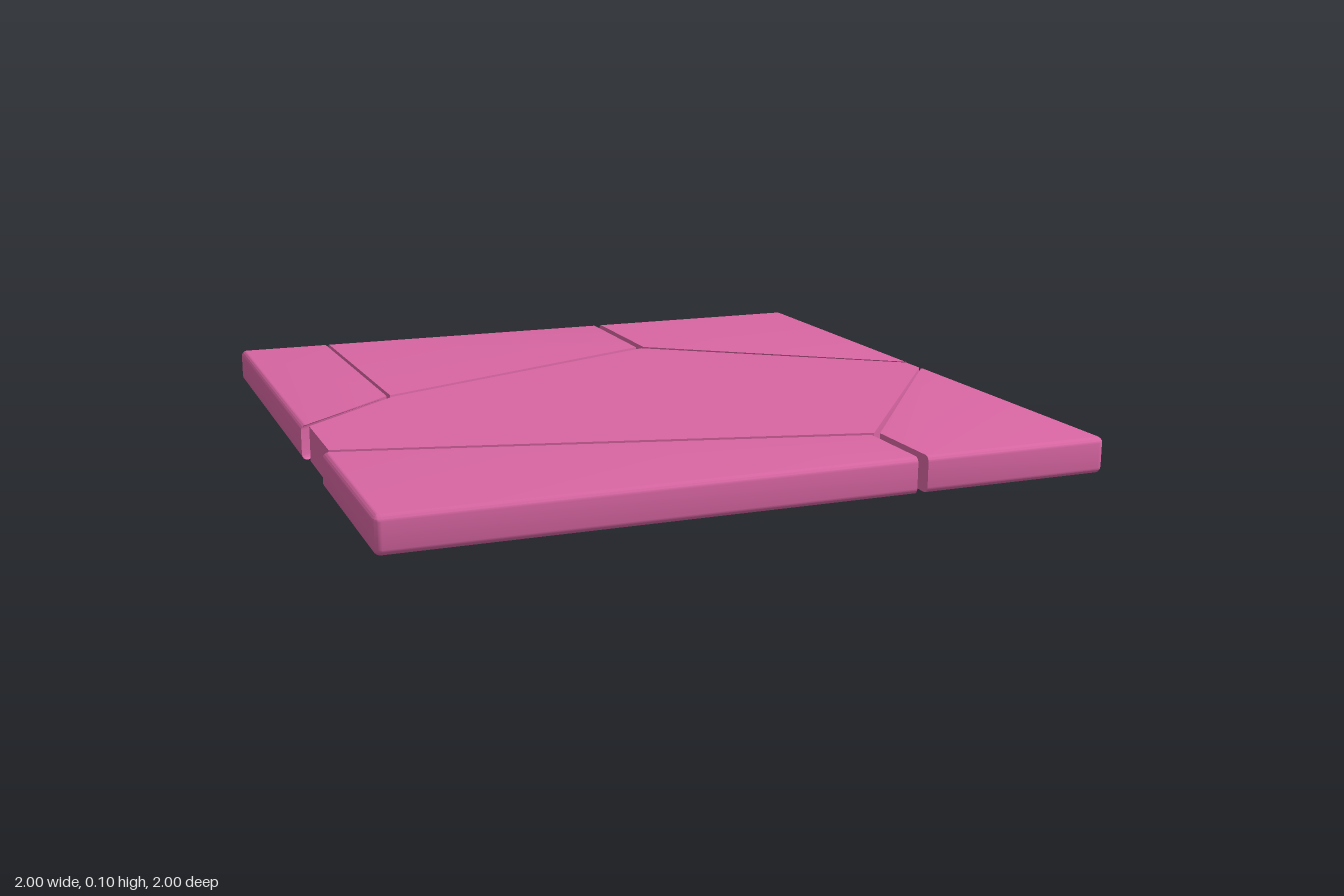
import * as THREE from 'three';
import { toCreasedNormals } from 'three/addons/utils/BufferGeometryUtils.js';

const HEIGHT = 0.1, BEVEL = 0.016, CORNER = 0.019, STEPS = 4;

// Heights of the slab's layers, with the inset of the rounded outer rim at each
const levels = [];
for (let i = 0; i <= STEPS; i++) {
  const a = (i / STEPS) * Math.PI / 2;
  levels.push({ y: BEVEL * (1 - Math.cos(a)), inset: BEVEL * (1 - Math.sin(a)) });
}
for (let i = STEPS; i >= 0; i--) levels.push({ y: HEIGHT - levels[i].y, inset: levels[i].inset });

// One horizontal slice of a piece; a point is [x, z] or [x, z, topX, topZ]
function slice(points, { y, inset }) {
  const ring = [], lim = 1 - inset, t = y / HEIGHT;
  for (const [x, z, tx = x, tz = z] of points) {
    if (Math.abs(x) === 1 && Math.abs(z) === 1) {
      // rounded slab corner
      const start = Math.atan2(z, x) - Math.PI / 4, r = CORNER - inset;
      for (let k = 0; k <= 3; k++) {
        const a = start + k * Math.PI / 6;
        ring.push([x * (1 - CORNER) + r * Math.cos(a), y, z * (1 - CORNER) + r * Math.sin(a)]);
      }
    } else {
      const px = x + (tx - x) * t, pz = z + (tz - z) * t;
      ring.push([THREE.MathUtils.clamp(px, -lim, lim), y, THREE.MathUtils.clamp(pz, -lim, lim)]);
    }
  }
  return ring;
}

// Stack the slices into a closed convex piece
function pieceGeometry(points) {
  const rings = levels.map((l) => slice(points, l));
  const n = rings[0].length, index = [];
  for (let j = 0; j < rings.length - 1; j++) {
    for (let i = 0; i < n; i++) {
      const a = j * n + i, b = j * n + (i + 1) % n, c = b + n, d = a + n;
      index.push(a, d, c, a, c, b);
    }
  }
  const top = (rings.length - 1) * n;
  for (let i = 1; i < n - 1; i++) {
    index.push(0, i, i + 1);
    index.push(top, top + i + 1, top + i);
  }
  const geo = new THREE.BufferGeometry();
  geo.setAttribute('position', new THREE.Float32BufferAttribute(rings.flat(2), 3));
  geo.setIndex(index);
  return toCreasedNormals(geo, 0.6);
}

// Outlines run clockwise as seen from above
const pieces = {
  centrePiece: [[-0.98, 0.115], [-0.685, -0.15], [0.265, -0.55], [0.985, -0.03],
    [0.985, 0.05], [0.442, 0.735], [-0.98, 0.385]],
  backLeftCornerPiece: [[-1, -1], [-0.717, -1], [-0.697, -0.167], [-1, 0.095]],
  backMiddlePiece: [[-0.713, -1, -0.705, -1], [0.262, -1, 0.255, -1],
    [0.262, -0.565, 0.255, -0.573], [-0.692, -0.163, -0.685, -0.173]],
  backRightCornerPiece: [[0.28, -1], [1, -1], [1, -0.045], [0.28, -0.567]],
  frontRightCornerPiece: [[1, 0.062], [1, 1], [0.455, 1], [0.455, 0.745]],
  frontLeftCornerPiece: [[-1, 0.393, -1, 0.405], [0.425, 0.743, 0.425, 0.753],
    [0.425, 1], [-1, 1]],
};

export function createModel() {
  const group = new THREE.Group();
  group.name = 'crackedSlab';
  const material = new THREE.MeshStandardMaterial({ color: 0xd966a3 });
  for (const [name, points] of Object.entries(pieces)) {
    const mesh = new THREE.Mesh(pieceGeometry(points), material);
    mesh.name = name;
    group.add(mesh);
  }
  return group;
}
